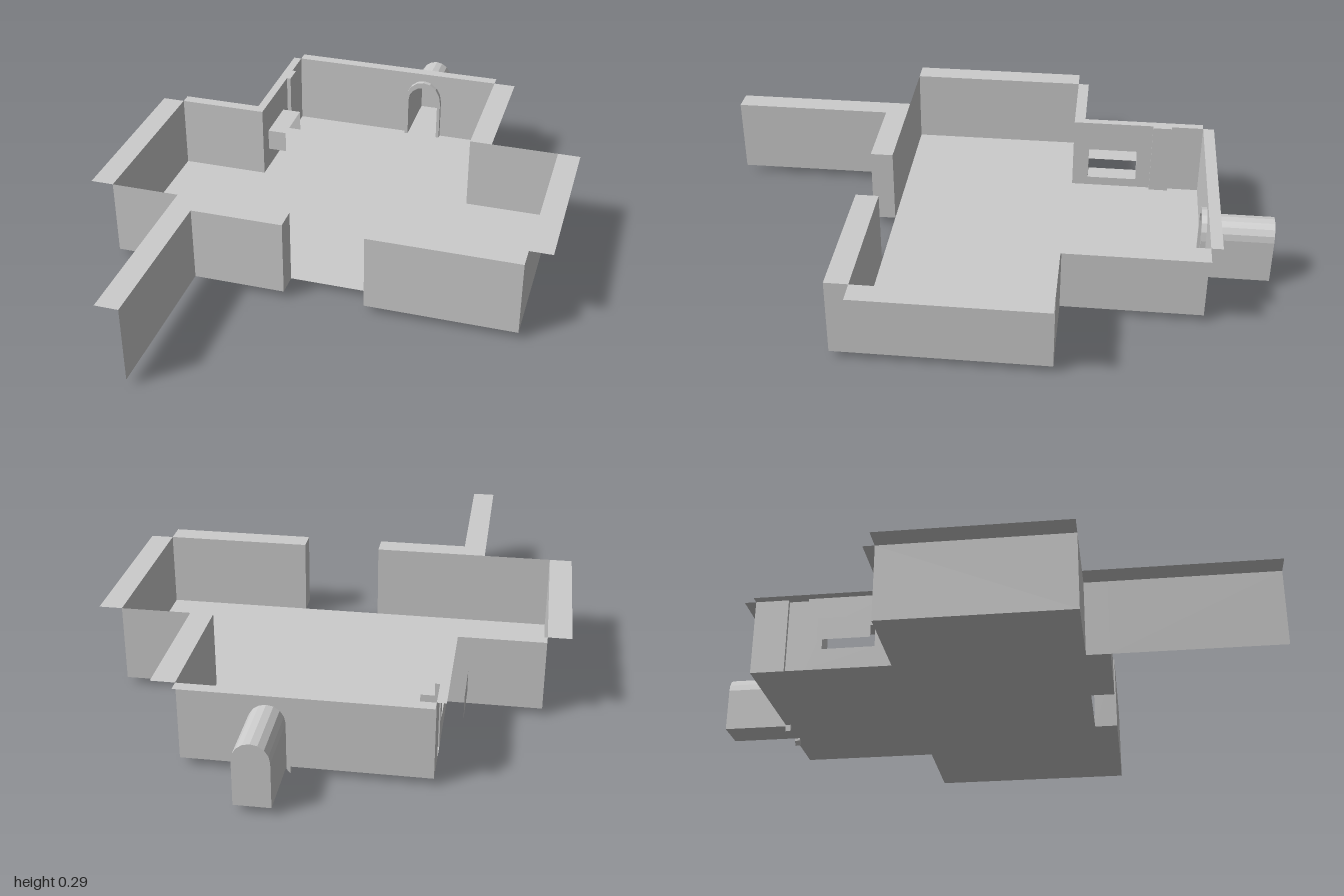
import * as THREE from 'three';

const FLOOR = 0.025, TOP = 0.293;

export function createModel() {
  const group = new THREE.Group();
  const mat = new THREE.MeshStandardMaterial({ color: 0xcccccc, side: THREE.DoubleSide, flatShading: true });
  const add = (name, geo) => {
    const mesh = new THREE.Mesh(geo, mat);
    mesh.name = name;
    group.add(mesh);
    return mesh;
  };
  const polygon = (pts) => new THREE.Shape(pts.map(([x, y]) => new THREE.Vector2(x, y)));
  const rect = (x0, y0, x1, y1) => polygon([[x0, y0], [x1, y0], [x1, y1], [x0, y1]]);

  // Upright sheet between two plan points
  const wall = (name, x0, z0, x1, z1) => {
    const geo = new THREE.PlaneGeometry(Math.hypot(x1 - x0, z1 - z0), TOP - FLOOR);
    geo.rotateY(-Math.atan2(z1 - z0, x1 - x0));
    geo.translate((x0 + x1) / 2, (FLOOR + TOP) / 2, (z0 + z1) / 2);
    add(name, geo);
  };
  // Flat sheet lying at a given height
  const flat = (name, shape, y) =>
    add(name, new THREE.ShapeGeometry(shape).rotateX(Math.PI / 2).translate(0, y, 0));
  const box = (name, x0, y0, z0, x1, y1, z1) =>
    add(name, new THREE.BoxGeometry(x1 - x0, y1 - y0, z1 - z0)
      .translate((x0 + x1) / 2, (y0 + y1) / 2, (z0 + z1) / 2));

  // Floor
  flat('floor', polygon([
    [-0.72, 0.35], [0.72, 0.35], [0.72, -0.29], [0.4, -0.29],
    [0.4, -0.77], [-0.4, -0.77], [-0.4, -0.29], [-0.72, -0.29],
  ]), FLOOR);

  // Plain walls
  wall('rightWall', -0.72, 0.35, -0.72, -0.29);
  wall('leftWall', 0.72, 0.35, 0.72, -0.29);
  wall('rightShoulderWall', -0.72, -0.29, -0.4, -0.29);
  wall('leftShoulderWall', 0.4, -0.29, 0.72, -0.29);
  wall('leftAlcoveWall', 0.4, -0.29, 0.4, -0.77);
  wall('frontCornerWall', -0.72, 0.35, -0.4, 0.35);
  wall('corridorWall', -0.4, 0.43, -0.4, 1);

  // Thick front walls on both sides of the doorway
  box('frontWallRight', -0.4, FLOOR, 0.35, -0.08, TOP, 0.43);
  box('frontWallLeft', 0.2, FLOOR, 0.35, 0.72, TOP, 0.43);

  // Flat wall tops
  [
    [-0.8, -0.29, -0.72, 0.35], [0.72, -0.29, 0.8, 0.35],
    [-0.72, -0.33, -0.4, -0.29], [-0.43, -0.77, -0.4, -0.33],
    [-0.4, -0.81, 0.4, -0.77], [0.4, -0.77, 0.48, -0.29],
    [-0.48, 0.35, -0.4, 1],
  ].forEach((r) => flat('wallTop', rect(...r), TOP));

  // Alcove side wall with a window niche, drawn along z
  const nicheWall = rect(-0.585, FLOOR, -0.29, TOP);
  nicheWall.holes.push(rect(-0.53, 0.1, -0.35, 0.18));
  add('nicheWall', new THREE.ShapeGeometry(nicheWall).rotateY(-Math.PI / 2).translate(-0.4, 0, 0));
  wall('nicheWallEnd', -0.4, -0.655, -0.4, -0.77);
  add('nicheSides', openBand([[-0.53, 0.1], [-0.35, 0.1], [-0.35, 0.18], [-0.53, 0.18], [-0.53, 0.1]], 0.07)
    .rotateY(-Math.PI / 2).translate(-0.4, 0, 0));
  add('nicheBack', new THREE.ShapeGeometry(rect(-0.53, 0.1, -0.35, 0.18))
    .rotateY(-Math.PI / 2).translate(-0.47, 0, 0));

  // Hollow pilaster
  wall('pilasterSide', -0.4, -0.585, -0.385, -0.585);
  wall('pilasterFace', -0.385, -0.585, -0.385, -0.655);
  wall('pilasterSide', -0.385, -0.655, -0.4, -0.655);
  flat('pilasterTop', rect(-0.4, -0.655, -0.385, -0.585), TOP);

  // Arch outline around x = 0.118
  const arch = (r, rise, bottom) => {
    const pts = [[0.118 - r, bottom]];
    for (let i = 0; i <= 8; i++) {
      const a = Math.PI * (1 - i / 8);
      pts.push([0.118 + r * Math.cos(a), 0.18 + rise * Math.sin(a)]);
    }
    pts.push([0.118 + r, bottom]);
    return pts;
  };
  const opening = arch(0.059, 0.06, FLOOR);

  // Back wall with the arched opening
  const back = polygon([[-0.4, FLOOR], ...opening, [0.4, FLOOR], [0.4, TOP], [-0.4, TOP]]);
  add('backWall', new THREE.ShapeGeometry(back).translate(0, 0, -0.77));

  // Arched passage with closed end
  add('passage', openBand([...opening, opening[0]], 0.23).translate(0, 0, -0.77));
  add('passageEnd', new THREE.ShapeGeometry(polygon(opening)).translate(0, 0, -1));

  // Raised trim around the arch
  const trim = polygon([...arch(0.071, 0.083, 0), ...arch(0.059, 0.06, 0.015).reverse()]);
  add('archTrim', new THREE.ExtrudeGeometry(trim, { depth: 0.018, bevelEnabled: false }).translate(0, 0, -0.77));

  return group;
}

// Band following an outline in xy, running back along -z
function openBand(pts, depth) {
  const pos = [], index = [];
  pts.forEach(([x, y], i) => {
    pos.push(x, y, 0, x, y, -depth);
    if (i) {
      const a = 2 * i - 2;
      index.push(a, a + 1, a + 2, a + 2, a + 1, a + 3);
    }
  });
  const geo = new THREE.BufferGeometry();
  geo.setAttribute('position', new THREE.Float32BufferAttribute(pos, 3));
  geo.setIndex(index);
  geo.computeVertexNormals();
  return geo;
}
